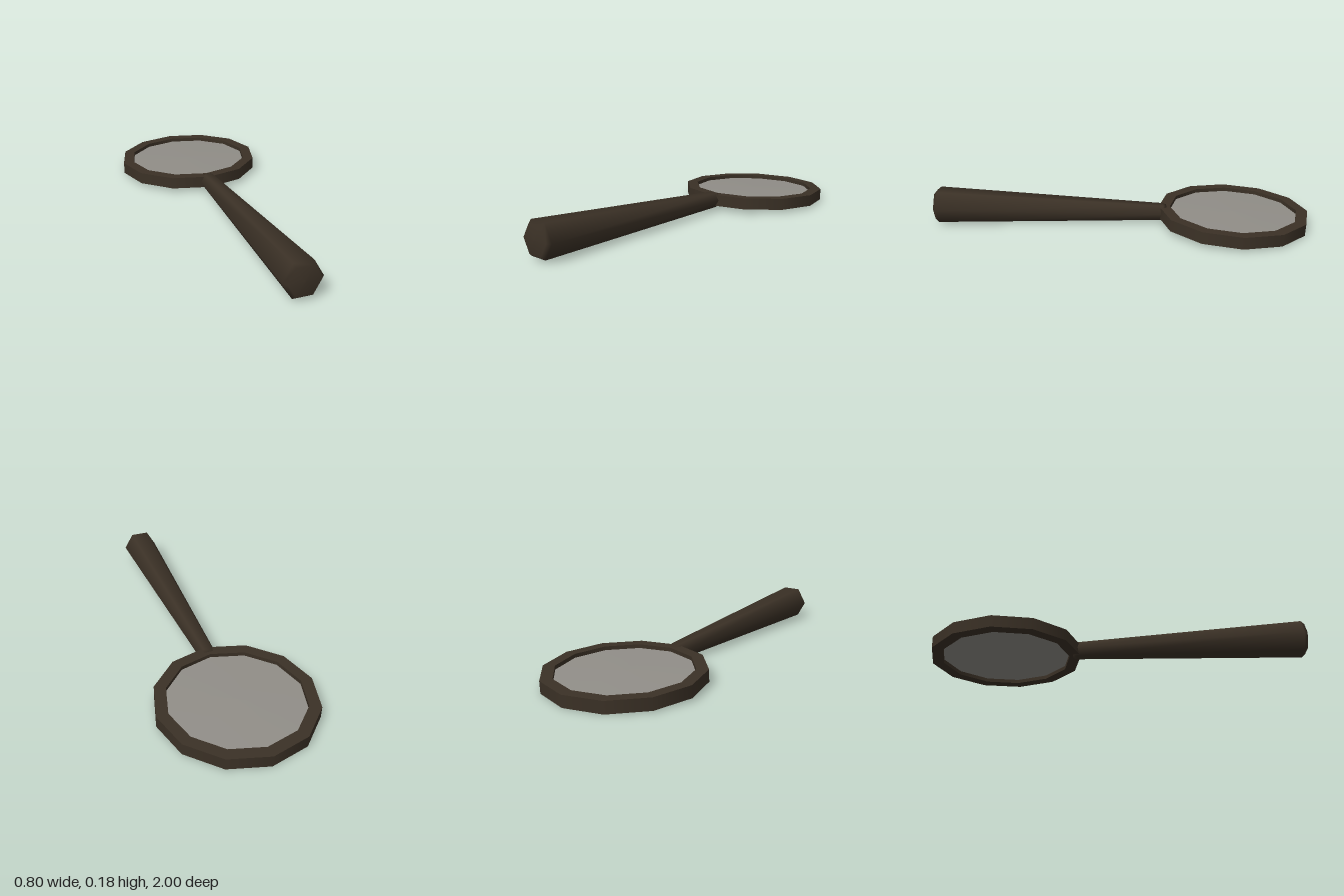
import * as THREE from 'three';

const wood = new THREE.MeshStandardMaterial({ color: 0x3b3126 });
wood.name = 'dark wood';
const glass = new THREE.MeshStandardMaterial({ color: 0x918e88 });
glass.name = 'grey glass';

// Lathe from [radius, height] pairs; a repeated pair makes a sharp edge.
function lathe(name, profile, sides, material, phiStart = 0) {
  const points = profile.map(([r, h]) => new THREE.Vector2(r, h));
  const mesh = new THREE.Mesh(new THREE.LatheGeometry(points, sides, phiStart), material);
  mesh.name = name;
  return mesh;
}

export function createModel() {
  const model = new THREE.Group();
  model.name = 'magnifyingGlass';

  // Twelve-sided rim with a square section
  const outer = 0.4, inner = 0.34, half = 0.031;
  const corners = [[outer, -half], [outer, half], [inner, half], [inner, -half]];
  const section = corners.flatMap((c, i) => [c, corners[(i + 1) % 4]]);
  const rim = lathe('rim', section, 12, wood);
  rim.position.z = -0.6;

  // Slightly domed lens set inside the rim
  const lens = lathe('lens', [
    [0, -0.018], [0.17, -0.016], [0.342, -0.011], [0.342, -0.011],
    [0.342, 0.011], [0.342, 0.011], [0.17, 0.016], [0, 0.018],
  ], 12, glass);
  lens.position.z = -0.6;

  // Tapered six-sided handle with shallow bevelled ends
  const handle = lathe('handle', [
    [0, -0.24], [0.04, -0.24], [0.046, -0.222],
    [0.097, 0.976], [0.08, 0.995], [0, 0.998],
  ], 6, wood, Math.PI / 2);
  handle.geometry.rotateX(Math.PI / 2);

  // The whole tool lies tilted, resting on the far edge of the rim
  const tool = new THREE.Group();
  tool.name = 'tiltedTool';
  tool.add(rim, lens, handle);
  tool.rotation.x = -0.033;
  tool.position.y = 0.066;
  model.add(tool);
  return model;
}
